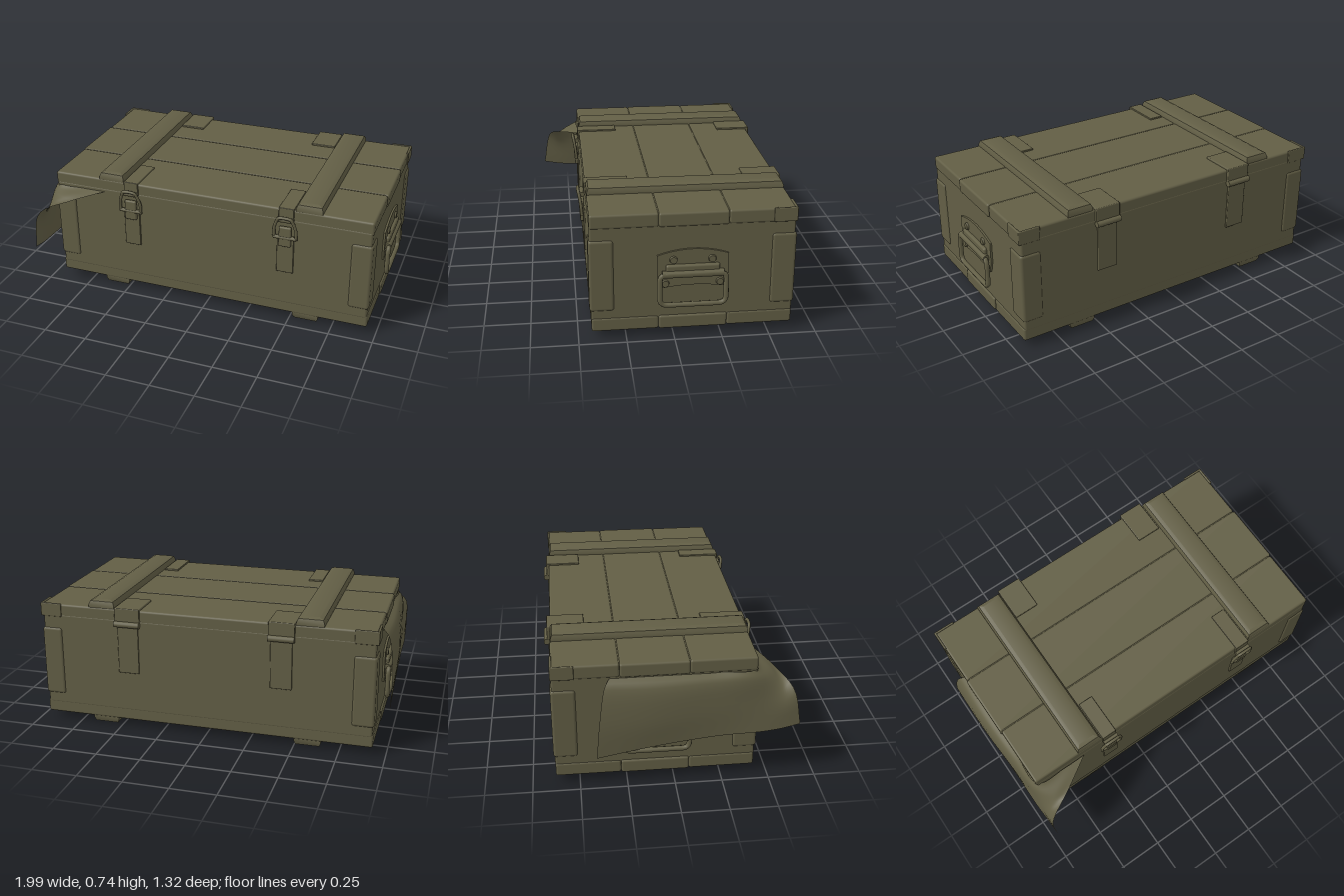
import * as THREE from 'three';
import { toCreasedNormals } from 'three/addons/utils/BufferGeometryUtils.js';
import { RoundedBoxGeometry } from 'three/addons/geometries/RoundedBoxGeometry.js';

const olive = new THREE.MeshStandardMaterial({ color: 0x625e45, side: THREE.DoubleSide });
olive.name = 'olive paint';

const V = (x, y, z) => new THREE.Vector3(x, y, z);

function add(parent, name, geometry, x = 0, y = 0, z = 0) {
  const mesh = new THREE.Mesh(geometry, olive);
  mesh.name = name;
  mesh.position.set(x, y, z);
  parent.add(mesh);
  return mesh;
}

// Rounded block given by its minimum and maximum corners
function block(parent, name, [x0, y0, z0], [x1, y1, z1], r = 0.01) {
  const g = new RoundedBoxGeometry(x1 - x0, y1 - y0, z1 - z0, 2, r);
  return add(parent, name, g, (x0 + x1) / 2, (y0 + y1) / 2, (z0 + z1) / 2);
}

// Closed wire loop with rounded corners, drawn in the xy plane
function wireLoop(w, h, r, thick) {
  const path = new THREE.CurvePath();
  const a = w / 2, b = h / 2;
  const corners = [[a, b], [-a, b], [-a, -b], [a, -b]];
  const dirs = [[-1, 0], [0, -1], [1, 0], [0, 1]];
  corners.forEach(([x, y], i) => {
    const out = dirs[i], into = dirs[(i + 3) % 4], next = corners[(i + 1) % 4];
    const end = V(x + out[0] * r, y + out[1] * r, 0);
    path.add(new THREE.QuadraticBezierCurve3(V(x - into[0] * r, y - into[1] * r, 0), V(x, y, 0), end));
    path.add(new THREE.LineCurve3(end, V(next[0] - out[0] * r, next[1] - out[1] * r, 0)));
  });
  return new THREE.TubeGeometry(path, 72, thick, 8, true);
}

// Skid batten with bevelled edges, lying along z
function battenGeometry() {
  const s = new THREE.Shape([[-0.045, -0.495], [0.045, -0.495], [0.045, 0.495], [-0.045, 0.495]]
    .map(([x, y]) => new THREE.Vector2(x, y)));
  const g = new THREE.ExtrudeGeometry(s, {
    depth: 0.03, bevelEnabled: true, bevelSize: 0.03, bevelThickness: 0.03, bevelSegments: 2,
  });
  g.rotateX(-Math.PI / 2).translate(0, -0.015, 0);
  return toCreasedNormals(g, 0.5);
}

// Carry handle on a riveted plate; plate lies in xy and faces +z
function makeHandle() {
  const group = new THREE.Group();
  const plate = new THREE.Shape();
  plate.moveTo(-0.185, 0.35);
  plate.lineTo(-0.165, 0.28);
  plate.quadraticCurveTo(0, 0.31, 0.165, 0.28);
  plate.lineTo(0.185, 0.35);
  plate.lineTo(0.185, 0.465);
  plate.quadraticCurveTo(0, 0.53, -0.185, 0.465);
  add(group, 'handlePlate', new THREE.ExtrudeGeometry(plate, { depth: 0.012, bevelEnabled: false }));
  block(group, 'handleCover', [-0.14, 0.35, 0], [0.14, 0.415, 0.03], 0.012);
  const pivot = new THREE.CylinderGeometry(0.02, 0.02, 0.32, 14).rotateZ(Math.PI / 2);
  add(group, 'handlePivot', pivot, 0, 0.365, 0.026);
  add(group, 'handleBail', wireLoop(0.345, 0.175, 0.04, 0.014), 0, 0.28, 0.032);
  const rivet = new THREE.CylinderGeometry(0.018, 0.022, 0.012, 14).rotateX(Math.PI / 2);
  for (const s of [-1, 1]) {
    add(group, 'handleRivet', rivet, s * 0.1, 0.44, 0.016);
    add(group, 'handleRivet', rivet, s * 0.142, 0.308, 0.016);
  }
  return group;
}

// Toggle latch on the front
function makeLatch() {
  const group = new THREE.Group();
  block(group, 'latchPlate', [-0.048, 0.31, 0.425], [0.048, 0.54, 0.443], 0.004);
  block(group, 'latchLever', [-0.035, 0.48, 0.437], [0.035, 0.6, 0.46], 0.008);
  block(group, 'latchTopPlate', [-0.043, 0.695, 0.2], [0.043, 0.708, 0.438], 0.004);
  block(group, 'latchLip', [-0.043, 0.64, 0.425], [0.043, 0.708, 0.44], 0.004);
  const hook = new THREE.CylinderGeometry(0.014, 0.014, 0.09, 12).rotateZ(Math.PI / 2);
  add(group, 'latchHook', hook, 0, 0.64, 0.448);
  const pin = new THREE.CylinderGeometry(0.011, 0.011, 0.13, 12).rotateZ(Math.PI / 2);
  add(group, 'latchPin', pin, 0, 0.535, 0.452);
  const bail = new THREE.TubeGeometry(new THREE.CatmullRomCurve3([
    V(-0.062, 0.53, 0.452), V(-0.062, 0.585, 0.456), V(-0.045, 0.64, 0.464), V(-0.035, 0.657, 0.468),
    V(0.035, 0.657, 0.468), V(0.045, 0.64, 0.464), V(0.062, 0.585, 0.456), V(0.062, 0.53, 0.452),
  ], false, 'centripetal'), 48, 0.009, 8);
  add(group, 'latchBail', bail);
  return group;
}

// Strap hinge on the back
function makeHinge() {
  const group = new THREE.Group();
  block(group, 'hingeTopPlate', [-0.072, 0.695, -0.64], [0.072, 0.709, -0.44], 0.005);
  block(group, 'hingeLip', [-0.072, 0.63, -0.642], [0.072, 0.709, -0.622], 0.005);
  block(group, 'hingeBackPlate', [-0.06, 0.33, -0.636], [0.06, 0.615, -0.62], 0.005);
  const knuckle = new THREE.CylinderGeometry(0.017, 0.017, 0.145, 14).rotateZ(Math.PI / 2);
  add(group, 'hingeKnuckle', knuckle, 0, 0.618, -0.643);
  return group;
}

// Cloth hanging out from under the lid, lofted through a few cross-sections
function clothGeometry() {
  const sections = [
    [[-0.92, 0.62, -0.33], [-0.96, 0.58, -0.36], [-0.99, 0.4, -0.39], [-0.99, 0.18, -0.41]],
    [[-0.92, 0.62, -0.1], [-0.97, 0.58, -0.1], [-0.995, 0.4, -0.1], [-0.985, 0.23, -0.12]],
    [[-0.92, 0.62, 0.18], [-0.96, 0.585, 0.19], [-0.98, 0.45, 0.2], [-0.98, 0.27, 0.22]],
    [[-0.92, 0.62, 0.42], [-0.945, 0.58, 0.445], [-0.965, 0.45, 0.46], [-0.98, 0.28, 0.45]],
    [[-0.75, 0.62, 0.435], [-0.88, 0.575, 0.52], [-0.96, 0.46, 0.56], [-0.975, 0.29, 0.56]],
    [[-0.62, 0.62, 0.435], [-0.8, 0.575, 0.54], [-0.955, 0.51, 0.62], [-0.97, 0.31, 0.66]],
  ].map((s) => new THREE.CatmullRomCurve3(s.map((p) => V(...p)), false, 'centripetal'));
  const nu = 30, nv = 14;
  const g = new THREE.PlaneGeometry(1, 1, nu, nv);
  const pos = g.attributes.position;
  for (let j = 0; j <= nv; j++) {
    const row = new THREE.CatmullRomCurve3(sections.map((s) => s.getPoint(j / nv)), false, 'centripetal');
    for (let i = 0; i <= nu; i++) {
      const p = row.getPoint(i / nu);
      pos.setXYZ(j * (nu + 1) + i, p.x, p.y, p.z);
    }
  }
  g.computeVertexNormals();
  return g;
}

export function createModel() {
  const crate = new THREE.Group();
  crate.name = 'crate';

  // Box body
  block(crate, 'body', [-0.925, 0.1, -0.627], [0.945, 0.64, 0.432], 0.012);

  // Lid and floor, three planks each
  const planks = [[-0.626, -0.28, 0], [-0.28, 0.08, 0.005], [0.08, 0.43, 0]];
  for (const [z0, z1, out] of planks) {
    block(crate, 'lidPlank', [-0.93 - out, 0.622, z0], [0.95 + out, 0.698, z1], 0.012);
    block(crate, 'floorPlank', [-0.93 - out, 0.042, z0], [0.95 + out, 0.118, z1], 0.012);
  }
  block(crate, 'lidCore', [-0.92, 0.63, -0.61], [0.94, 0.694, 0.42], 0.01);
  block(crate, 'floorCore', [-0.92, 0.046, -0.61], [0.94, 0.12, 0.42], 0.01);

  // Battens across the lid and under the floor
  const batten = battenGeometry();
  for (const x of [-0.575, 0.595]) {
    add(crate, 'lidBatten', batten, x, 0.695, -0.097);
    add(crate, 'floorBatten', batten, x, 0.045, -0.097);
  }

  // Corner guards on the body, trims on the back lid corners
  for (const [x0, x1] of [[-0.933, -0.81], [0.835, 0.953]]) {
    for (const [z0, z1] of [[-0.634, -0.505], [0.31, 0.439]]) {
      block(crate, 'cornerGuard', [x0, 0.16, z0], [x1, 0.56, z1], 0.016);
    }
    const edge = x0 < 0 ? [-0.938, -0.925] : [0.943, 0.957];
    block(crate, 'lidCornerTrim', [edge[0], 0.625, -0.632], [edge[1], 0.702, -0.51], 0.005);
    block(crate, 'lidCornerTrim', [x0, 0.625, -0.632], [x1, 0.702, -0.619], 0.005);
  }

  // Latches and hinges
  for (const x of [-0.45, 0.47]) {
    const latch = makeLatch();
    latch.name = 'latch';
    latch.position.x = x;
    crate.add(latch);
  }
  for (const x of [-0.425, 0.44]) {
    const hinge = makeHinge();
    hinge.name = 'hinge';
    hinge.position.x = x;
    crate.add(hinge);
  }

  // Handles on both ends
  for (const [name, x, turn] of [['leftHandle', 0.944, 1], ['rightHandle', -0.924, -1]]) {
    const handle = makeHandle();
    handle.name = name;
    handle.position.set(x, 0, -0.095);
    handle.rotation.y = turn * Math.PI / 2;
    crate.add(handle);
  }

  add(crate, 'cloth', clothGeometry());
  return crate;
}
